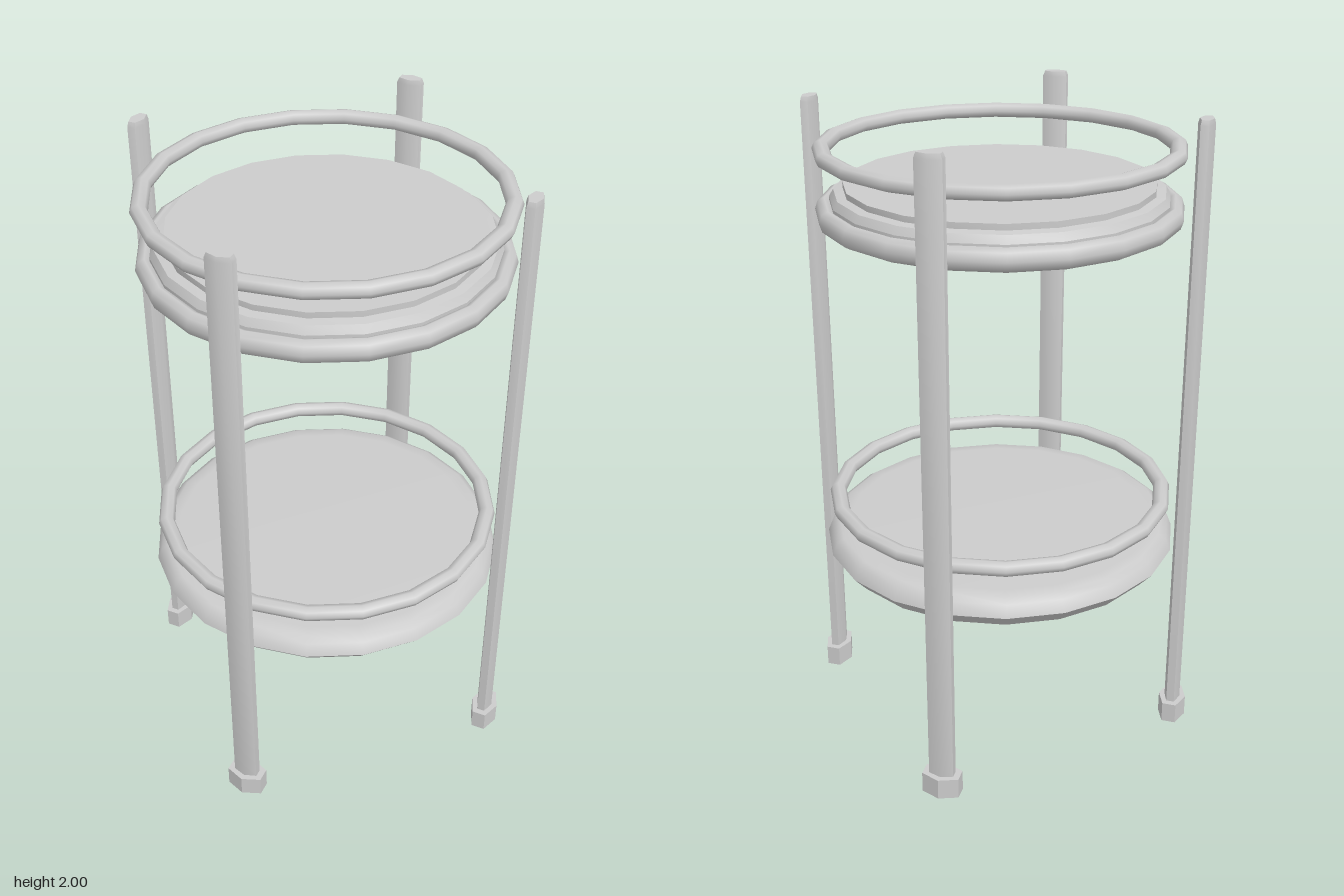
import * as THREE from 'three';
import { toCreasedNormals } from 'three/addons/utils/BufferGeometryUtils.js';

const SIDES = 20;
const material = new THREE.MeshStandardMaterial({ color: 0xcccccc });

function add(parent, name, geometry) {
  const mesh = new THREE.Mesh(geometry, material);
  mesh.name = name;
  parent.add(mesh);
  return mesh;
}

// Solid of revolution from [radius, y] pairs, listed bottom to top
function turned(profile, sides, crease) {
  const points = profile.map(([r, y]) => new THREE.Vector2(r, y));
  return toCreasedNormals(new THREE.LatheGeometry(points, sides), crease);
}

// Horizontal ring with an elliptical section
function ring(radius, halfWidth, halfHeight, y) {
  const g = new THREE.TorusGeometry(radius, halfWidth, 8, SIDES);
  g.rotateX(Math.PI / 2);
  g.scale(1, halfHeight / halfWidth, 1);
  g.translate(0, y, 0);
  return g;
}

// Flattened hexagonal post: corners point outward along z
function hexPost(profile, halfDepth, halfWidth, crease) {
  const g = turned(profile, 6, crease);
  g.scale(halfWidth / Math.sin(Math.PI / 3), 1, halfDepth);
  return toCreasedNormals(g, crease);
}

export function createModel() {
  const model = new THREE.Group();
  model.name = 'roundSideTable';

  // Lower shelf with a bevelled rim
  add(model, 'lowerShelf', turned([
    [0, 0.572], [0.525, 0.572], [0.565, 0.617], [0.55, 0.655],
    [0.527, 0.67], [0.49, 0.672], [0, 0.672],
  ], SIDES, 0.75));

  // Upper shelf: stepped tray top seated in a thick ring
  add(model, 'upperShelf', turned([
    [0, 1.7], [0.508, 1.7], [0.508, 1.737], [0.495, 1.76],
    [0.467, 1.764], [0.467, 1.782], [0, 1.782],
  ], SIDES, 0.5));
  add(model, 'upperShelfRim', ring(0.523, 0.028, 0.035, 1.7));

  // Guard rails above each shelf
  add(model, 'lowerRail', ring(0.526, 0.026, 0.023, 0.764));
  add(model, 'upperRail', ring(0.526, 0.026, 0.023, 1.882));

  // Four legs with feet; sideways shift is along each leg's own x
  const poleGeometry = hexPost(
    [[0, 0.02], [1, 0.02], [1, 1.985], [0.85, 2], [0, 2]], 0.025, 0.039, 1.1);
  const footGeometry = hexPost(
    [[0, 0], [1, 0], [1, 0.068], [0, 0.068]], 0.044, 0.0585, 0.5);
  const legs = [
    ['frontLeg', 0, -0.014], ['leftLeg', 1, 0],
    ['backLeg', 2, -0.012], ['rightLeg', 3, 0],
  ];
  for (const [name, turn, shift] of legs) {
    const leg = new THREE.Group();
    leg.name = name;
    leg.rotation.y = turn * Math.PI / 2;
    for (const [part, g] of [['pole', poleGeometry], ['foot', footGeometry]]) {
      add(leg, part, g).position.set(shift, 0, 0.6);
    }
    model.add(leg);
  }
  return model;
}
